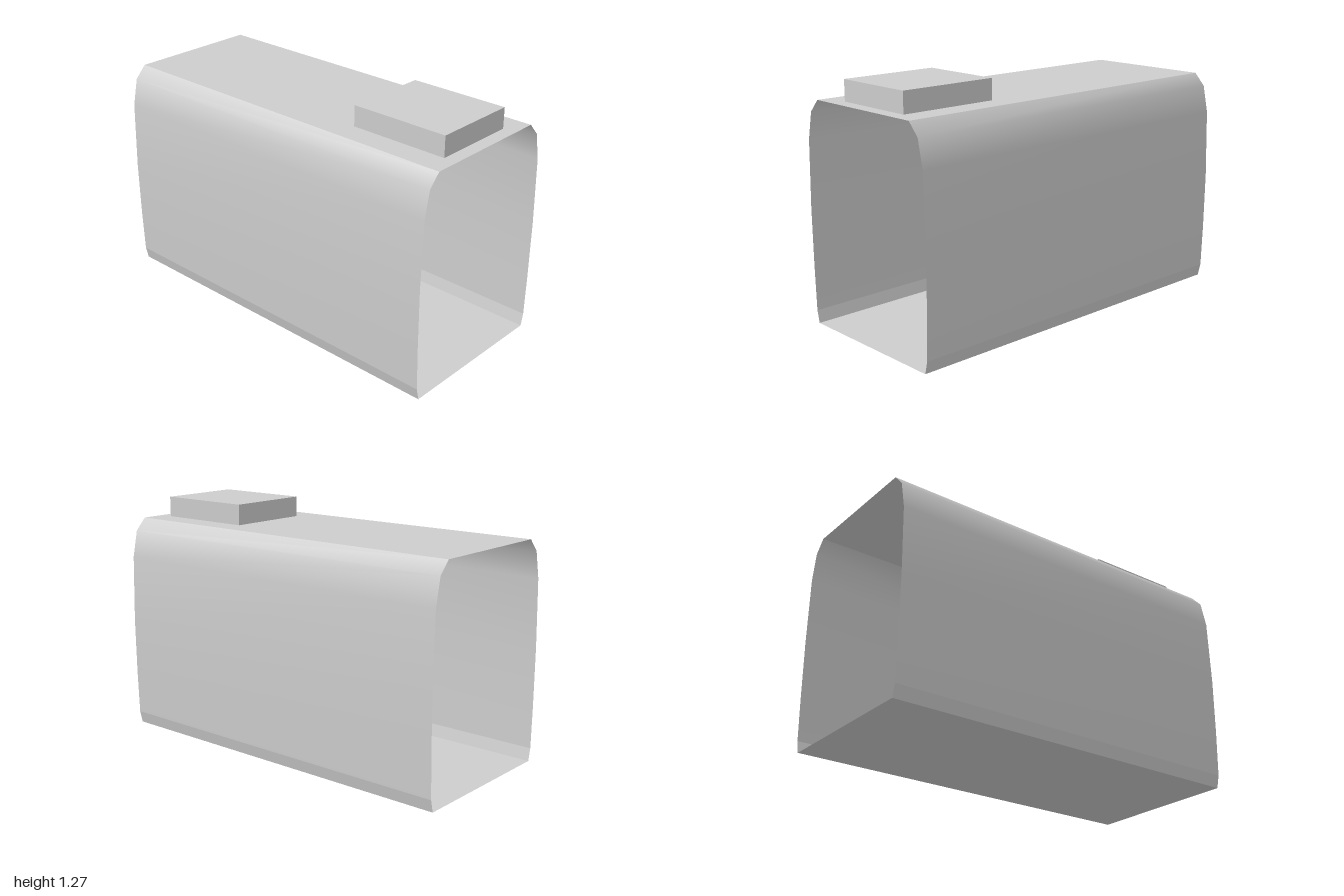
import * as THREE from 'three';

// Sweeps an open x/y outline along z; smooth inside the strip, sharp at its ends.
function strip(points, z0, z1) {
  const pos = [], index = [];
  points.forEach(([x, y], i) => {
    pos.push(x, y, z0, x, y, z1);
    if (i) {
      const a = 2 * (i - 1);
      index.push(a, a + 1, a + 2, a + 2, a + 1, a + 3);
    }
  });
  const g = new THREE.BufferGeometry();
  g.setAttribute('position', new THREE.Float32BufferAttribute(pos, 3));
  g.setIndex(index);
  g.computeVertexNormals();
  return g;
}

export function createModel() {
  const group = new THREE.Group();
  const grey = new THREE.MeshStandardMaterial({ color: 0xcccccc, side: THREE.DoubleSide });
  grey.name = 'lightGrey';
  const add = (name, geometry) => {
    const mesh = new THREE.Mesh(geometry, grey);
    mesh.name = name;
    group.add(mesh);
    return mesh;
  };

  // Thin sleeve, open at both ends
  const top = 1.16, topHalf = 0.355, bottomHalf = 0.43;
  const wall = [[0.445, 0.065], [0.452, 0.3], [0.455, 0.6], [0.445, 0.953], [0.415, 1.095], [topHalf, top]];
  const skirt = [[bottomHalf, 0], wall[0]];
  const mirror = (pts) => pts.map(([x, y]) => [-x, y]).reverse();

  add('topPanel', strip([[topHalf, top], [-topHalf, top]], -1, 1));
  add('bottomPanel', strip([[-bottomHalf, 0], [bottomHalf, 0]], -1, 1));
  add('leftWall', strip(wall, -1, 1));
  add('rightWall', strip(mirror(wall), -1, 1));
  add('leftLowerEdge', strip(skirt, -1, 1));
  add('rightLowerEdge', strip(mirror(skirt), -1, 1));

  // Raised block near the front of the roof
  add('roofBlock', new THREE.BoxGeometry(0.454, 0.108, 0.53)).position.set(0, top + 0.054, 0.665);

  return group;
}
